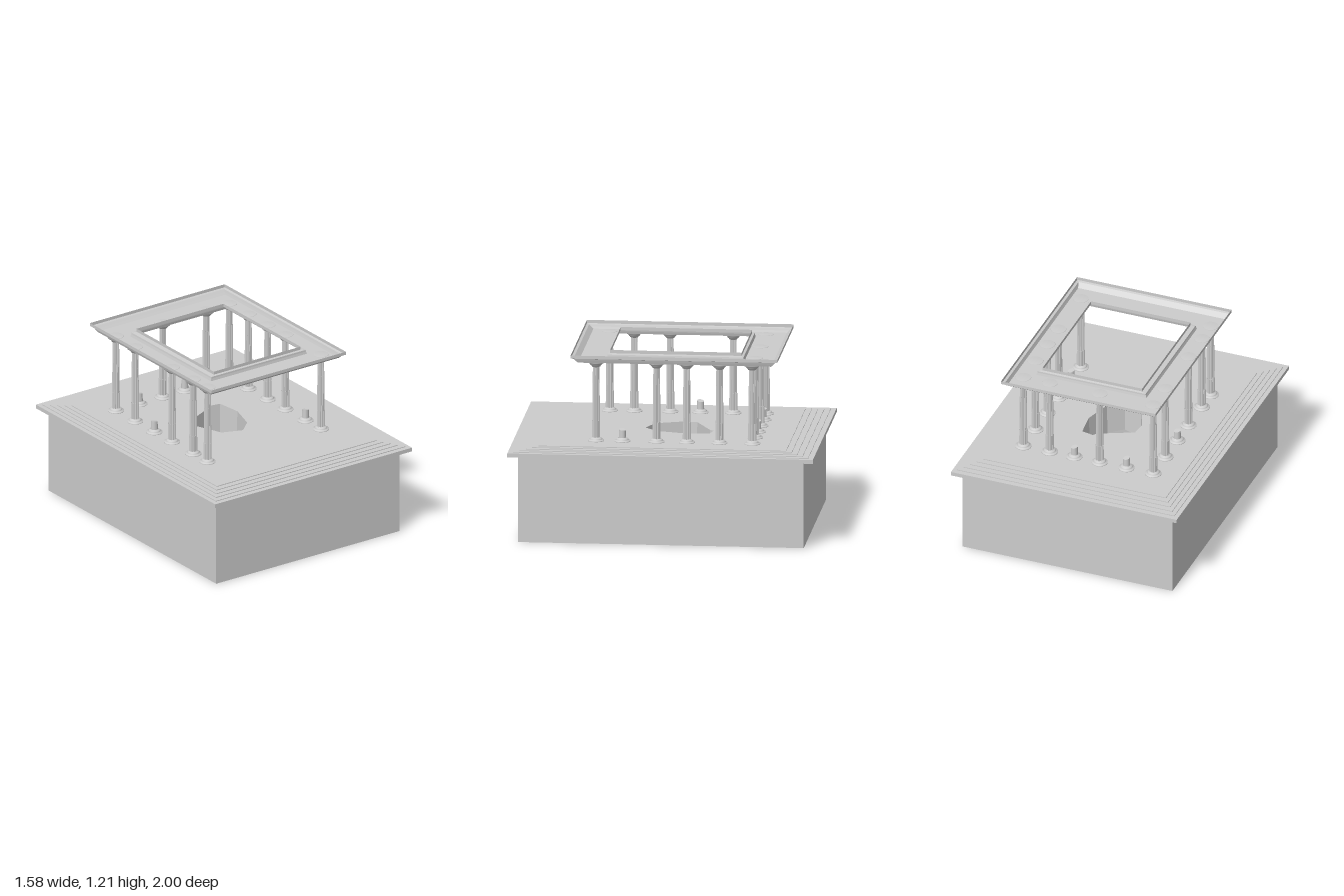
import * as THREE from 'three';
import { mergeVertices } from 'three/addons/utils/BufferGeometryUtils.js';

const flat = new THREE.MeshStandardMaterial({ color: 0xcccccc, flatShading: true, side: THREE.DoubleSide });
const smooth = new THREE.MeshStandardMaterial({ color: 0xcccccc, side: THREE.DoubleSide });

function add(parent, name, geometry, material = flat) {
  const mesh = new THREE.Mesh(geometry, material);
  mesh.name = name;
  parent.add(mesh);
  return mesh;
}

// Skin a list of closed loops, each an array of [x, y, z]
function loft(loops) {
  const n = loops[0].length;
  const index = [];
  for (let r = 0; r < loops.length - 1; r++) {
    for (let i = 0; i < n; i++) {
      const a = r * n + i, b = r * n + (i + 1) % n;
      index.push(a, b, b + n, a, b + n, a + n);
    }
  }
  let g = new THREE.BufferGeometry();
  g.setAttribute('position', new THREE.Float32BufferAttribute(loops.flat(2), 3));
  g.setIndex(index);
  g = g.toNonIndexed();
  g.computeVertexNormals();
  return g;
}

// Horizontal rectangle, counter-clockwise seen from above
const rect = (hx, zBack, zFront, y) => [[-hx, y, zFront], [hx, y, zFront], [hx, y, zBack], [-hx, y, zBack]];

const FLOOR = 0.625;
const CEILING = 1.156;

// Irregular outline of the pit, as [x, z]
const PIT = [[-0.165, -0.15], [0.06, -0.255], [0.08, -0.28], [0.16, -0.265], [0.18, -0.1],
  [0.125, 0.085], [0.03, 0.17], [-0.105, 0.12], [-0.175, -0.055]];

// Hollow base with overhanging slab and shallow steps
function buildBase(model) {
  const base = new THREE.Group();
  base.name = 'base';
  model.add(base);

  add(base, 'baseWalls', loft([rect(0.735, -0.935, 0.935, 0), rect(0.735, -0.935, 0.935, 0.575)]));

  const loops = [rect(0.735, -0.935, 0.935, 0.575), rect(0.79, -1, 1, 0.575), rect(0.79, -1, 1, 0.601)];
  const steps = 5;
  for (let i = 0; i < steps; i++) {
    const t = i / (steps - 1);
    const hx = 0.76 - 0.12 * t, hz = 0.965 - 0.155 * t;
    const y0 = 0.601 + (FLOOR - 0.601) * i / steps;
    const y1 = 0.601 + (FLOOR - 0.601) * (i + 1) / steps;
    loops.push(rect(hx, -hz, hz, y0), rect(hx, -hz, hz, y1));
  }
  add(base, 'steppedSlab', loft(loops));

  // Floor pierced by the pit
  const shape = new THREE.Shape([[-0.64, -0.81], [0.64, -0.81], [0.64, 0.81], [-0.64, 0.81]]
    .map(([x, y]) => new THREE.Vector2(x, y)));
  shape.holes.push(new THREE.Path(PIT.map(([x, z]) => new THREE.Vector2(x, -z))));
  const floor = new THREE.ShapeGeometry(shape);
  floor.rotateX(-Math.PI / 2);
  floor.translate(0, FLOOR, 0);
  add(base, 'floor', floor);

  // Pit wall, narrowing slightly downwards
  const ring = (s, y) => PIT.map(([x, z]) => [x * s, y, (z + 0.05) * s - 0.05]);
  add(base, 'pitWall', loft([ring(0.94, 0.42), ring(1, FLOOR)]));
}

// Fluted drum: every other vertex column is pulled inwards
function flutedDrum(rTop, rBottom, y0, y1, flutes = 16) {
  const g = new THREE.CylinderGeometry(rTop, rBottom, y1 - y0, flutes * 2, 1, true);
  const p = g.attributes.position;
  for (let i = 0; i < p.count; i++) {
    if (i % (flutes * 2 + 1) % 2 === 1) {
      p.setX(i, p.getX(i) * 0.87);
      p.setZ(i, p.getZ(i) * 0.87);
    }
  }
  g.translate(0, (y0 + y1) / 2, 0);
  return g;
}

const turned = (points) => new THREE.LatheGeometry(points.map(([r, y]) => new THREE.Vector2(r, y)), 24);

const columnBase = turned([[0.05, 0.619], [0.053, 0.624], [0.053, 0.631], [0.04, 0.633],
  [0.041, 0.638], [0.036, 0.644], [0.029, 0.646], [0.024, 0.65]]);
const capital = turned([[0.021, 1.118], [0.028, 1.121], [0.028, 1.127], [0.034, 1.129], [0.041, 1.138],
  [0.041, 1.142], [0.052, 1.145], [0.053, 1.154], [0.05, 1.159], [0, 1.159]]);
const drums = [
  flutedDrum(0.0265, 0.027, 0.645, 0.76),
  flutedDrum(0.0235, 0.025, 0.76, 1.01),
  flutedDrum(0.0215, 0.0225, 1.01, 1.12)
];

// Short broken shaft with a slanted top
function brokenShaft() {
  const g = new THREE.CylinderGeometry(0.022, 0.024, 0.08, 24, 1);
  g.translate(0, 0.668, 0);
  const p = g.attributes.position;
  for (let i = 0; i < p.count; i++) {
    if (p.getY(i) > 0.67) p.setY(i, 0.704 - p.getX(i) * 0.2 + p.getZ(i) * 0.15);
  }
  return mergeVertices(g);
}
const stubShaft = brokenShaft();

function buildColumn(parent, x, z) {
  const column = new THREE.Group();
  column.name = 'column';
  column.position.set(x, 0, z);
  add(column, 'columnBase', columnBase, smooth);
  drums.forEach((d) => add(column, 'shaftDrum', d));
  // Ledge where the lower drum steps in
  const ledge = new THREE.RingGeometry(0.02, 0.0245, 24);
  ledge.rotateX(-Math.PI / 2);
  add(column, 'drumLedge', ledge).position.y = 0.76;
  add(column, 'capital', capital, smooth);
  parent.add(column);
}

function buildStub(parent, x, z) {
  const stub = new THREE.Group();
  stub.name = 'brokenColumn';
  stub.position.set(x, 0, z);
  add(stub, 'columnBase', columnBase, smooth);
  add(stub, 'brokenShaft', stubShaft);
  parent.add(stub);
}

function buildColonnade(model) {
  const colonnade = new THREE.Group();
  colonnade.name = 'colonnade';
  model.add(colonnade);
  const L = -0.457, R = 0.452, back = -0.57;
  for (const z of [0.452, 0.292, 0.056, -0.356, back]) buildColumn(colonnade, L, z);
  for (const z of [0.452, 0.056, -0.142, -0.356, back]) buildColumn(colonnade, R, z);
  for (const x of [-0.082, 0.267]) buildColumn(colonnade, x, back);
  for (const [x, z] of [[L, -0.142], [R, 0.28], [-0.27, back], [0.095, back]]) buildStub(colonnade, x, z);
}

// Trough-shaped frame: flaring outer cornice, flat soffit, inner lip
function buildEntablature(model) {
  add(model, 'entablature', loft([
    rect(0.348, -0.49, 0.37, 1.208),
    rect(0.348, -0.49, 0.37, 1.187),
    rect(0.378, -0.505, 0.385, 1.183),
    rect(0.38, -0.506, 0.386, 1.172),
    rect(0.385, -0.51, 0.39, CEILING),
    rect(0.515, -0.7, 0.565, CEILING),
    rect(0.52, -0.715, 0.58, 1.17),
    rect(0.524, -0.728, 0.594, 1.183),
    rect(0.54, -0.743, 0.61, 1.187),
    rect(0.54, -0.743, 0.61, 1.208)
  ]));
}

export function createModel() {
  const model = new THREE.Group();
  model.name = 'ruinedTemple';
  buildBase(model);
  buildColonnade(model);
  buildEntablature(model);
  return model;
}
